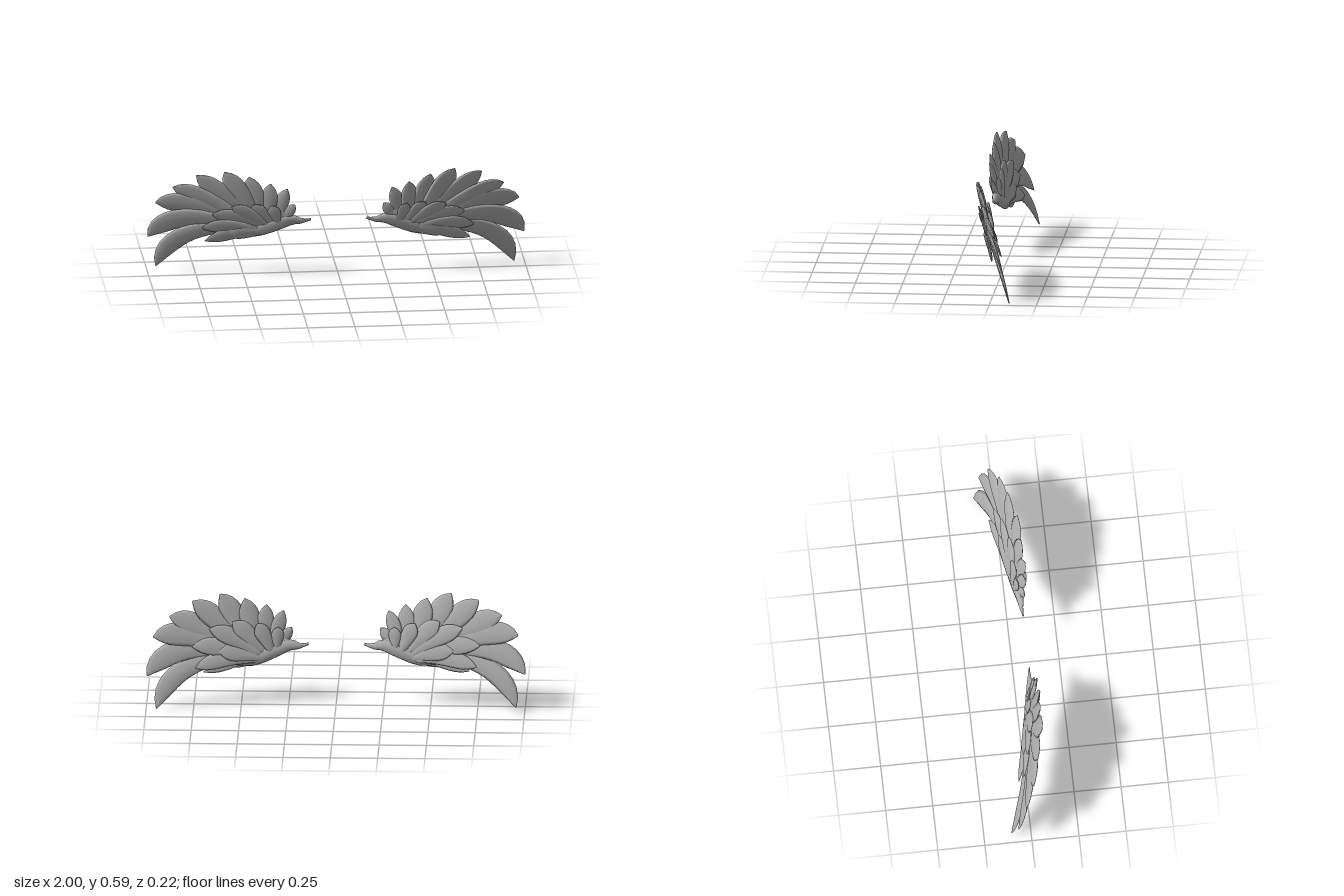
import * as THREE from 'three';

const grey = new THREE.MeshStandardMaterial({ color: 0xb0b0b0 });
grey.name = 'feather grey';

const RING = 8, STEPS = 12;
// half-width along a feather, root to tip
const VANE = [0.35, 0.5, 0.62, 0.72, 0.81, 0.89, 0.95, 1, 1, 0.94, 0.78, 0.5, 0.06];

// depth of the gently swept wing surface
const sweep = (x, y) => 0.075 - 0.12 * x * x + 0.22 * (y - 0.3);

// loft flattened rings along a path; width and thick are functions of the station
function loft(curve, width, thick, offset, tilt, side) {
  const pos = [], idx = [];
  for (let i = 0; i <= STEPS; i++) {
    const t = i / STEPS;
    const c = curve.getPoint(t), d = curve.getTangent(t);
    const w = width(t, i), h = thick(t, i);
    for (let j = 0; j < RING; j++) {
      const a = (j / RING) * Math.PI * 2, u = Math.cos(a) * w;
      const x = c.x - d.y * u, y = c.y + d.x * u;
      pos.push(side * x, y, sweep(x, y) + offset(t) + tilt * u + h * Math.sin(a));
    }
  }
  const tri = (a, b, c) => (side > 0 ? idx.push(a, b, c) : idx.push(a, c, b));
  for (let i = 0; i < STEPS; i++) {
    for (let j = 0; j < RING; j++) {
      const k = (j + 1) % RING, p = i * RING, q = p + RING;
      tri(p + j, p + k, q + k);
      tri(p + j, q + k, q + j);
    }
  }
  // end caps
  const last = STEPS * RING;
  for (let j = 1; j < RING - 1; j++) {
    tri(0, j + 1, j);
    tri(last, last + j, last + j + 1);
  }
  const g = new THREE.BufferGeometry();
  g.setAttribute('position', new THREE.Float32BufferAttribute(pos, 3));
  g.setIndex(idx);
  g.computeVertexNormals();
  return g;
}

// one feather: [rootX, rootY, bendX, bendY, tipX, tipY, full width]
function feather(f, side, lift, tilt, depth) {
  const v = (i) => new THREE.Vector2(f[i], f[i + 1]);
  const curve = new THREE.QuadraticBezierCurve(v(0), v(2), v(4));
  return loft(curve, (t, i) => VANE[i] * f[6] / 2, (t, i) => depth * (0.35 + 0.65 * VANE[i]) * (1 - 0.5 * t),
    (t) => lift * (0.5 + 0.5 * t), tilt, side);
}

const FLIGHT = [
  [0.50, 0.25, 0.88, 0.27, 0.945, 0.003, 0.105],
  [0.50, 0.27, 0.89, 0.37, 0.995, 0.175, 0.115],
  [0.48, 0.28, 0.81, 0.42, 0.965, 0.375, 0.115],
  [0.46, 0.28, 0.73, 0.44, 0.88, 0.475, 0.11],
  [0.44, 0.28, 0.63, 0.46, 0.76, 0.55, 0.11],
  [0.42, 0.27, 0.53, 0.46, 0.615, 0.58, 0.115],
  [0.40, 0.27, 0.45, 0.43, 0.485, 0.555, 0.105],
  [0.37, 0.27, 0.38, 0.40, 0.37, 0.52, 0.09],
  [0.33, 0.28, 0.32, 0.39, 0.28, 0.49, 0.075],
  [0.30, 0.29, 0.28, 0.35, 0.235, 0.40, 0.06],
];

const FRONT_COVERTS = [
  [0.42, 0.24, 0.55, 0.24, 0.70, 0.175, 0.07],
  [0.42, 0.25, 0.58, 0.29, 0.72, 0.25, 0.075],
  [0.40, 0.27, 0.54, 0.34, 0.67, 0.33, 0.08],
  [0.38, 0.28, 0.48, 0.35, 0.57, 0.385, 0.08],
  [0.35, 0.28, 0.41, 0.35, 0.46, 0.40, 0.075],
  [0.32, 0.29, 0.34, 0.35, 0.36, 0.40, 0.065],
  [0.38, 0.24, 0.48, 0.24, 0.59, 0.215, 0.07],
];

const BACK_COVERTS = [
  [0.42, 0.24, 0.60, 0.27, 0.74, 0.21, 0.08],
  [0.42, 0.26, 0.60, 0.33, 0.76, 0.32, 0.09],
  [0.40, 0.27, 0.53, 0.37, 0.67, 0.41, 0.09],
  [0.38, 0.28, 0.46, 0.38, 0.55, 0.44, 0.09],
  [0.34, 0.28, 0.38, 0.37, 0.42, 0.43, 0.08],
  [0.31, 0.29, 0.31, 0.36, 0.31, 0.41, 0.065],
  [0.40, 0.25, 0.50, 0.29, 0.62, 0.29, 0.09],
];

function wing(side) {
  const group = new THREE.Group();
  const add = (parent, geometry, name) => {
    const m = new THREE.Mesh(geometry, grey);
    m.name = name;
    parent.add(m);
  };
  const layer = (name, list, lift, tilt, depth) => {
    const g = new THREE.Group();
    g.name = name;
    list.forEach((f, i) => add(g, feather(f, side, lift + (i % 2) * 0.006, tilt, depth), name.replace(/s$/, '') + (i + 1)));
    group.add(g);
  };

  // leading limb, pointed at the root
  const limb = new THREE.SplineCurve([[0.147, 0.316], [0.20, 0.305], [0.26, 0.31], [0.36, 0.275],
    [0.45, 0.24], [0.54, 0.235], [0.64, 0.25]].map((p) => new THREE.Vector2(...p)));
  const bulge = (t) => 0.006 + 0.037 * Math.pow(Math.sin(Math.PI * Math.pow(t, 1.05)), 1.6);
  add(group, loft(limb, bulge, (t) => bulge(t) * 0.6, () => 0, 0, side), 'wingLimb');

  // broad web under the feather roots
  add(group, feather([0.25, 0.31, 0.42, 0.33, 0.64, 0.32, 0.19], side, 0, 0, 0.02), 'wingWeb');

  layer('flightFeathers', FLIGHT, -0.004, 0.12, 0.016);
  layer('frontCoverts', FRONT_COVERTS, 0.022, 0.12, 0.012);
  layer('backCoverts', BACK_COVERTS, -0.032, 0.12, 0.013);
  return group;
}

export function createModel() {
  const model = new THREE.Group();
  model.name = 'wings';
  const left = wing(1);
  left.name = 'leftWing';

  // the right wing is raised slightly about its root
  const right = wing(-1);
  right.name = 'rightWing';
  const a = -0.03, px = -0.15, py = 0.315;
  right.rotation.z = a;
  right.position.set(px - px * Math.cos(a) + py * Math.sin(a), py - px * Math.sin(a) - py * Math.cos(a), 0);

  model.add(left, right);
  return model;
}
